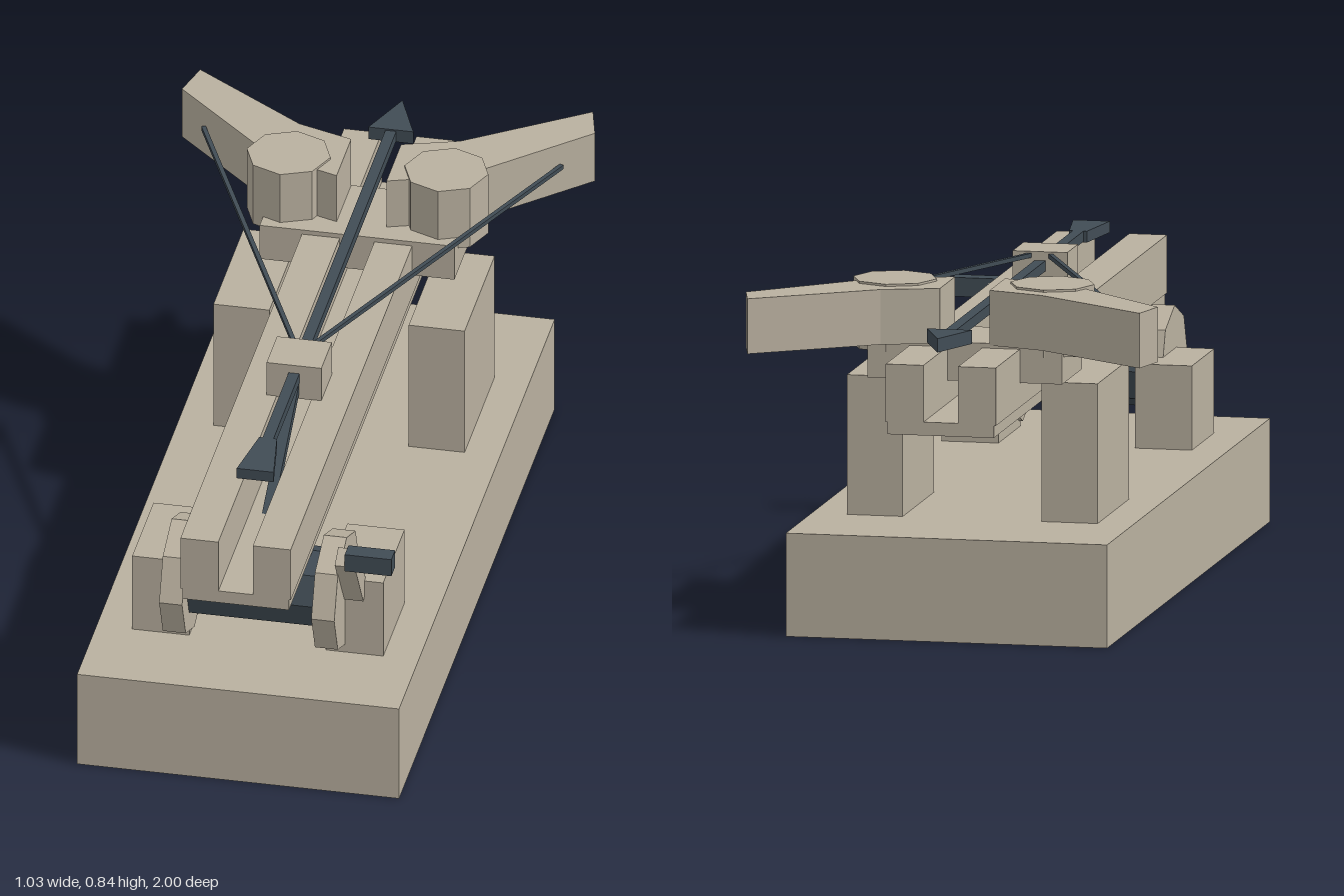
import * as THREE from 'three';

export function createModel() {
  const model = new THREE.Group();
  model.name = 'siegeBallista';
  const wood = new THREE.MeshStandardMaterial({ color: 0xb9b09f });
  wood.name = 'paleWood';
  const iron = new THREE.MeshStandardMaterial({ color: 0x414c55 });
  iron.name = 'darkIron';

  function add(name, geometry, material) {
    const mesh = new THREE.Mesh(geometry, material);
    mesh.name = name;
    model.add(mesh);
    return mesh;
  }

  // Box given by its extents on each axis
  function box(name, material, [x0, x1], [y0, y1], [z0, z1]) {
    const mesh = add(name, new THREE.BoxGeometry(x1 - x0, y1 - y0, z1 - z0), material);
    mesh.position.set((x0 + x1) / 2, (y0 + y1) / 2, (z0 + z1) / 2);
    return mesh;
  }

  // Horizontal plate from [x, z] outline points
  function plate(name, material, points, y, height) {
    const shape = new THREE.Shape(points.map(([x, z]) => new THREE.Vector2(x, -z)));
    const g = new THREE.ExtrudeGeometry(shape, { depth: height, bevelEnabled: false });
    g.rotateX(-Math.PI / 2);
    g.translate(0, y, 0);
    return add(name, g, material);
  }

  // Flat-sided octagonal drum
  function octagon(radius, height) {
    const g = new THREE.CylinderGeometry(radius, radius, height, 8).toNonIndexed();
    g.computeVertexNormals();
    return g;
  }

  // Square bar between two points
  function bar(name, material, a, b, width, height) {
    const from = new THREE.Vector3(...a), to = new THREE.Vector3(...b);
    const mesh = add(name, new THREE.BoxGeometry(width, height, from.distanceTo(to)), material);
    mesh.position.copy(from).add(to).multiplyScalar(0.5);
    mesh.lookAt(to);
    return mesh;
  }

  const span = (side, a, b) => (side > 0 ? [a, b] : [-b, -a]);

  // Base, channel floor and cross beam
  box('base', wood, [-0.4, 0.4], [0, 0.255], [-0.895, 0.97]);
  box('channelFloor', wood, [-0.132, 0.132], [0.52, 0.553], [-0.96, 0.998]);
  box('crossBeam', wood, [-0.242, 0.242], [0.61, 0.705], [-0.685, -0.455]);

  for (const side of [1, -1]) {
    const s = side > 0 ? 'left' : 'right';
    box(s + 'Rail', wood, span(side, 0.043, 0.137), [0.55, 0.693], [-0.96, 1]);
    box(s + 'RearPost', wood, span(side, 0.173, 0.312), [0.255, 0.6], [-0.6, -0.24]);
    box(s + 'FrontPost', wood, span(side, 0.17, 0.312), [0.255, 0.463], [0.48, 0.735]);

    // Torsion drum and bow arm
    add(s + 'TorsionDrum', octagon(0.104, 0.167), wood).position.set(side * 0.196, 0.758, -0.582);
    const arm = [
      [0.062, -0.51], [0.15, -0.54], [0.28, -0.61], [0.513, -0.832],
      [0.488, -0.93], [0.2, -0.73], [0.062, -0.685],
    ];
    plate(s + 'BowArm', wood, arm.map(([x, z]) => [x * side, z]), 0.7, 0.136);
    bar(s + 'BowString', iron, [side * 0.445, 0.775, -0.762], [side * 0.02, 0.775, 0.19], 0.011, 0.011);

    // Winch wheel
    const wheel = add(s + 'WinchWheel', octagon(0.15, 0.057), wood);
    wheel.rotation.z = Math.PI / 2;
    wheel.position.set(side * 0.189, 0.42, 0.717);
  }

  // Winch drum, crank and pulling rope
  const drum = add('winchDrum', octagon(0.1, 0.325), iron);
  drum.rotation.z = Math.PI / 2;
  drum.position.set(0, 0.42, 0.712);
  bar('crankArm', wood, [0.24, 0.425, 0.725], [0.24, 0.582, 0.828], 0.05, 0.05);
  box('crankHandle', iron, [0.24, 0.356], [0.556, 0.603], [0.805, 0.85]);
  bar('pullRope', iron, [0, 0.745, 0.26], [0, 0.47, 0.74], 0.026, 0.026);

  // Sliding carriage
  box('carriage', wood, [-0.068, 0.068], [0.692, 0.785], [0.175, 0.3]);

  // Bolt: shaft, pointed head and tail fin
  box('boltShaft', iron, [-0.0135, 0.0135], [0.737, 0.763], [-0.9, 0.7]);
  plate('boltHead', iron, [[0, -1], [0.056, -0.86], [-0.056, -0.86]], 0.733, 0.034);
  plate('boltTail', iron, [[-0.022, 0.61], [0.022, 0.61], [0.046, 0.765], [-0.046, 0.765]], 0.735, 0.028);

  return model;
}
